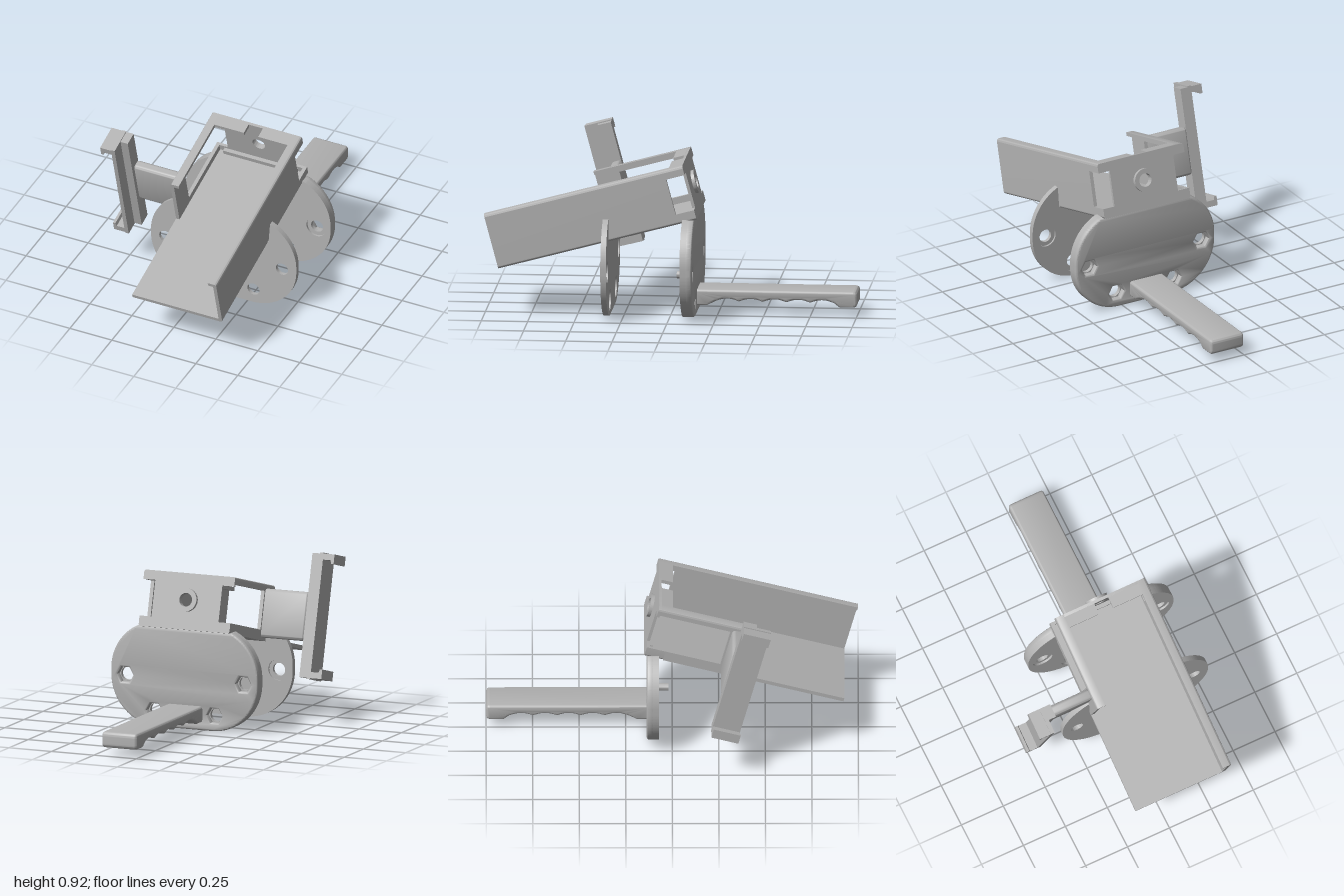
import * as THREE from 'three';
import { toCreasedNormals } from 'three/addons/utils/BufferGeometryUtils.js';
import { RoundedBoxGeometry } from 'three/addons/geometries/RoundedBoxGeometry.js';

const grey = new THREE.MeshStandardMaterial({ color: 0xb2b2b2 });
grey.name = 'printed grey';

function add(parent, name, geometry) {
  const mesh = new THREE.Mesh(toCreasedNormals(geometry, 0.6), grey);
  mesh.name = name;
  parent.add(mesh);
  return mesh;
}

// Box from min and max corners
function box(parent, name, x0, x1, y0, y1, z0, z1) {
  const g = new THREE.BoxGeometry(x1 - x0, y1 - y0, z1 - z0);
  g.translate((x0 + x1) / 2, (y0 + y1) / 2, (z0 + z1) / 2);
  return add(parent, name, g);
}

// Extrude a shape between two z positions; an inset bevel keeps the outline size
function slab(parent, name, shape, z0, z1, bevel = 0) {
  const g = new THREE.ExtrudeGeometry(shape, {
    depth: z1 - z0 - 2 * bevel, curveSegments: 32, bevelEnabled: bevel > 0,
    bevelSize: bevel, bevelThickness: bevel, bevelOffset: -bevel, bevelSegments: 4,
  });
  g.translate(0, 0, z0 + bevel);
  return add(parent, name, g);
}

// Polygon of [x, y, cornerRadius]
function polygon(points) {
  const shape = new THREE.Shape();
  points.forEach(([x, y, r = 0], i) => {
    const p = new THREE.Vector2(x, y);
    const toward = (q) => new THREE.Vector2(q[0], q[1]).sub(p).setLength(r).add(p);
    const a = toward(points[(i + points.length - 1) % points.length]);
    const b = toward(points[(i + 1) % points.length]);
    if (i === 0) shape.moveTo(a.x, a.y); else shape.lineTo(a.x, a.y);
    if (r) shape.quadraticCurveTo(x, y, b.x, b.y);
  });
  shape.closePath();
  return shape;
}

// Round or hexagonal hole
function hole(x, y, r, sides = 0) {
  const path = new THREE.Path();
  if (!sides) return path.absarc(x, y, r, 0, Math.PI * 2, true);
  const pts = [];
  for (let i = 0; i < sides; i++) {
    const a = -i / sides * Math.PI * 2;
    pts.push(new THREE.Vector2(x + r * Math.cos(a), y + r * Math.sin(a)));
  }
  return path.setFromPoints(pts);
}

// Mounting plate outline, optionally notched for the tray
function plateShape(notched, holeRadius, sides) {
  const s = new THREE.Shape(), R = 0.27, a = 1.137;
  s.moveTo(-0.055, 0);
  s.lineTo(0.27, 0);
  s.absarc(0.27, 0.27, R, -Math.PI / 2, 0, false);
  s.absarc(0.27, 0.3, R, 0, a, false);
  if (notched) {
    s.lineTo(0.375, 0.425);
    s.lineTo(-0.165, 0.425);
  }
  s.absarc(-0.055, 0.3, R, Math.PI - a, Math.PI, false);
  s.absarc(-0.055, 0.27, R, Math.PI, Math.PI * 1.5, false);
  for (const [x, y] of [[-0.24, 0.27], [0.455, 0.27], [-0.07, 0.085], [0.285, 0.085]])
    s.holes.push(hole(x, y, holeRadius, sides));
  return s;
}

function buildTray() {
  // Local frame: z = 0 at the open front end, back end at z = -L
  const tray = new THREE.Group();
  tray.name = 'tray';
  const L = 1.108, H = 0.305, xl = -0.165, xr = 0.37, t = 0.02, r = 0.015, lip = 0.05;
  const sill = 0.056, head = 0.254, windowStart = 1.005;
  const run = (name, pts, u0, u1) => slab(tray, name, polygon(pts), -u1, -u0);

  // Floor, right wall and lip in one channel
  run('floor and right wall', [[xl, 0], [xr, 0, r], [xr, H, r], [xr - lip, H], [xr - lip, H - t],
    [xr - t, H - t], [xr - t, t], [xl, t]], 0, windowStart);
  run('rear floor', [[xl, 0, r], [xr, 0, r], [xr, sill], [xr - t, sill], [xr - t, t],
    [xl + t, t], [xl + t, sill], [xl, sill]], windowStart, L);
  run('rear right rail', [[xr, head], [xr, H, r], [xr - lip, H], [xr - lip, H - t],
    [xr - t, H - t], [xr - t, head]], windowStart, L);

  // Left wall: solid by the arm, then a window between rail and sill
  const w0 = 0.568, w1 = 0.7;
  run('left wall', [[xl, 0], [xl + t, 0], [xl + t, H - t], [xl + lip, H - t],
    [xl + lip, H], [xl, H, r]], w0, w1);
  run('left sill', [[xl, 0], [xl + t, 0], [xl + t, sill], [xl, sill]], w1, windowStart);
  run('left rail', [[xl, head + 0.012], [xl + t, head + 0.012], [xl + t, H - t], [xl + lip, H - t],
    [xl + lip, H], [xl, H, r]], w1, L);

  // Back panel with cut corners and a round hole
  const cx = 0.1025, cy = 0.16, pl = -0.095, pr = 0.3;
  const panel = polygon([[xl, 0, r], [xr, 0, r], [xr, sill], [pr, sill], [pr, head], [xr, head],
    [xr, H, r], [xl, H, r], [xl, head], [pl, head], [pl, sill], [xl, sill]]);
  panel.holes.push(hole(cx, cy, 0.037));
  slab(tray, 'back panel', panel, -L, -L + 0.016);
  const ring = new THREE.Shape().absarc(cx, cy, 0.063, 0, Math.PI * 2, false);
  ring.holes.push(hole(cx, cy, 0.037));
  slab(tray, 'hole boss', ring, -L - 0.018, -L);

  // Rear lip in two halves with a gap between them
  box(tray, 'rear lip left', xl + lip, 0.06, H - t, H, -L, -1.03);
  box(tray, 'rear lip right', 0.145, xr - lip, H - t, H, -L, -1.03);
  box(tray, 'rear step', xl + lip, xr - lip, t, 0.045, -L, -1.07);

  // Side arm
  const arm = add(tray, 'side arm', new RoundedBoxGeometry(0.27, 0.264, 0.06, 4, 0.02));
  arm.position.set(-0.287, 0.149, -0.661);

  // Clip bracket with hooked ends
  const bracket = new THREE.Group();
  bracket.name = 'clip bracket';
  bracket.position.set(0, 0.157, -0.612);
  tray.add(bracket);
  box(bracket, 'outer strip', -0.48, -0.458, -0.342, 0.342, -0.075, 0.075);
  box(bracket, 'inner strip', -0.459, -0.415, -0.336, 0.336, -0.075, 0.0);
  for (const s of [1, -1]) {
    const hook = polygon([[-0.478, 0.337 * s], [-0.545, 0.337 * s], [-0.545, 0.285 * s],
      [-0.531, 0.285 * s], [-0.525, 0.304 * s], [-0.478, 0.304 * s]]);
    slab(bracket, s > 0 ? 'upper hook' : 'lower hook', hook, -0.075, 0.075);
  }

  tray.position.set(0, 0.26, 0.92);
  tray.rotation.x = Math.PI / 12;
  return tray;
}

// Handle: side profile with finger grooves, extruded across x
function buildHandle(parent) {
  const s = new THREE.Shape();
  s.moveTo(-0.11, 0.132);
  s.lineTo(-0.11, 0.045);
  s.lineTo(-0.19, 0.045);
  const n = 50;
  for (let i = 0; i <= n; i++) {
    const k = i / n;
    s.lineTo(-0.235 - 0.64 * k, 0.068 + 0.015 * Math.abs(Math.sin(k * Math.PI * 5)));
  }
  s.lineTo(-0.905, 0.045);
  s.lineTo(-0.975, 0.045);
  s.quadraticCurveTo(-1.0, 0.045, -1.0, 0.07);
  s.lineTo(-1.0, 0.107);
  s.quadraticCurveTo(-1.0, 0.132, -0.975, 0.132);
  s.closePath();
  const b = 0.014;
  const g = new THREE.ExtrudeGeometry(s, {
    depth: 0.205 - 2 * b, bevelSize: b, bevelThickness: b, bevelOffset: -b, bevelSegments: 4,
  });
  g.rotateY(-Math.PI / 2);
  g.translate(0.205 - b, 0, 0);
  add(parent, 'handle', g);
}

export function createModel() {
  const model = new THREE.Group();
  model.name = 'handled tray';
  model.add(buildTray());

  // Thin front plate, counterbored at the back
  slab(model, 'front plate', plateShape(true, 0.036), 0.335, 0.355);
  slab(model, 'front plate back layer', plateShape(true, 0.058), 0.325, 0.335);

  // Thick rear plate: counterbores in front, hexagonal nut pockets behind
  slab(model, 'rear plate front layer', plateShape(false, 0.058), -0.083, -0.072);
  slab(model, 'rear plate core', plateShape(false, 0.036), -0.105, -0.083);
  slab(model, 'rear plate back layer', plateShape(false, 0.046, 6), -0.137, -0.092, 0.012);

  // Locating peg on the rear plate
  const peg = new THREE.CylinderGeometry(0.02, 0.02, 0.06, 24);
  peg.rotateX(Math.PI / 2);
  peg.translate(0.1025, 0.19, -0.05);
  add(model, 'peg', peg);

  buildHandle(model);
  return model;
}
